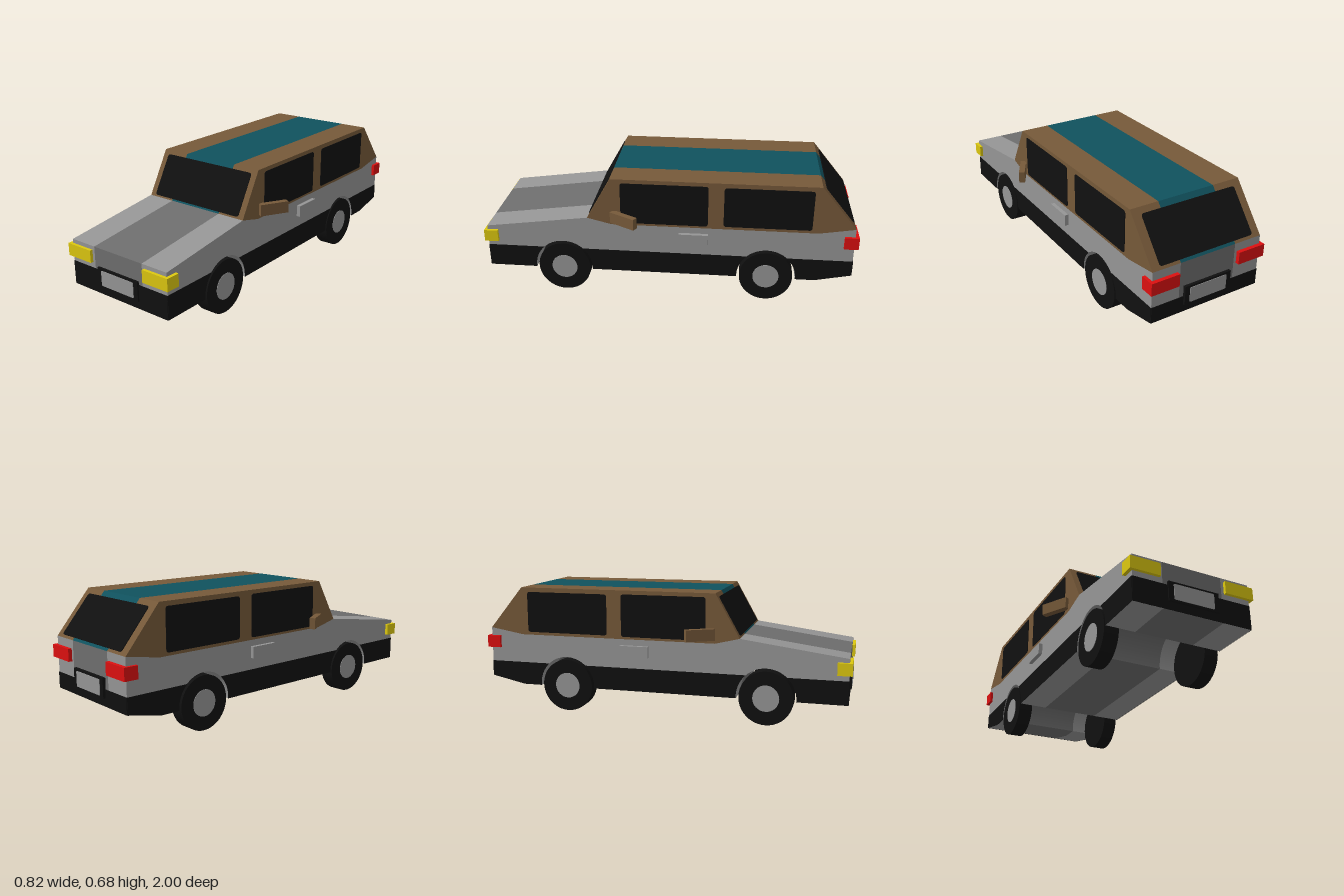
import * as THREE from 'three';

const mat = (name, color) => {
  const m = new THREE.MeshStandardMaterial({ color });
  m.name = name;
  return m;
};

export function createModel() {
  const silver = mat('silver paint', 0x959595);
  const grey = mat('grey stripe', 0x6e6e6e);
  const brown = mat('brown paint', 0x765939);
  const teal = mat('teal stripe', 0x10525e);
  const black = mat('black trim', 0x101010);
  const yellow = mat('yellow lamp', 0xdcc710);
  const red = mat('red lamp', 0xdc1010);

  const car = new THREE.Group();
  car.name = 'car';
  const add = (name, geometry, material, x = 0, y = 0, z = 0) => {
    const mesh = new THREE.Mesh(geometry, material);
    mesh.name = name;
    mesh.position.set(x, y, z);
    car.add(mesh);
    return mesh;
  };
  const box = (name, w, h, d, material, x, y, z) =>
    add(name, new THREE.BoxGeometry(w, h, d), material, x, y, z);

  // Side profile drawn as (z, y), extruded across x
  const slab = (name, shape, x0, x1, material) => {
    const g = new THREE.ExtrudeGeometry(shape, { depth: x1 - x0, bevelEnabled: false, curveSegments: 24 });
    g.rotateY(-Math.PI / 2).translate(x1, 0, 0);
    return add(name, g, material);
  };
  const polygon = (points) => new THREE.Shape(points.map(([z, y]) => new THREE.Vector2(z, y)));

  // Flat plate with rounded corners, facing a given direction
  const plate = (name, w, h, material, pos, normal, r = 0.014) => {
    const s = new THREE.Shape();
    const a = w / 2, b = h / 2;
    s.absarc(a - r, b - r, r, 0, Math.PI / 2);
    s.absarc(r - a, b - r, r, Math.PI / 2, Math.PI);
    s.absarc(r - a, r - b, r, Math.PI, Math.PI * 1.5);
    s.absarc(a - r, r - b, r, Math.PI * 1.5, Math.PI * 2);
    const g = new THREE.ExtrudeGeometry(s, { depth: 0.004, bevelEnabled: false, curveSegments: 4 });
    const mesh = add(name, g, material, ...pos);
    mesh.lookAt(mesh.position.clone().add(new THREE.Vector3(...normal)));
    return mesh;
  };

  const W = 0.316, S = 0.16, F = 0.984, B = -0.98;
  const axles = [0.57, -0.53], axleY = 0.145, archR = 0.157;
  const low = Math.asin(0.01 / archR), high = Math.asin((0.26 - axleY) / archR);

  // Lower body with wheel arches running right through
  const body = polygon([[F, 0.135], [F, 0.375], [0.43, 0.45], [0.3, 0.418],
    [-0.79, 0.418], [B, 0.45], [B, 0.175], [-0.79, 0.135]]);
  for (const z of [...axles].reverse()) {
    body.absarc(z, axleY, archR, Math.PI + low, -low, true);
  }
  // Cabin
  const cabin = polygon([[0.43, 0.45], [0.3, 0.68], [-0.79, 0.68], [B, 0.45], [-0.79, 0.418], [0.3, 0.418]]);
  // Outer thirds plain, middle third striped
  for (const [side, x0, x1] of [['right', -W, -S], ['middle', -S, S], ['left', S, W]]) {
    const mid = side === 'middle';
    slab(side + ' body', body, x0, x1, mid ? grey : silver);
    slab(side + ' cabin', cabin, x0, x1, mid ? teal : brown);
  }

  // Black sill sections, shaped around the arches
  const sillFront = new THREE.Shape();
  sillFront.moveTo(F, 0.135);
  sillFront.lineTo(F, 0.26);
  sillFront.absarc(axles[0], axleY, archR, high, -low, true);
  const sillMiddle = new THREE.Shape();
  sillMiddle.absarc(axles[0], axleY, archR, Math.PI - high, Math.PI + low, false);
  sillMiddle.absarc(axles[1], axleY, archR, -low, high, false);
  const sillRear = new THREE.Shape();
  sillRear.absarc(axles[1], axleY, archR, Math.PI - high, Math.PI + low, false);
  sillRear.lineTo(-0.79, 0.135);
  sillRear.lineTo(B, 0.175);
  sillRear.lineTo(B, 0.26);

  for (const s of [-1, 1]) {
    const side = s > 0 ? 'left ' : 'right ';
    const x0 = s > 0 ? W : -W - 0.002;
    for (const shape of [sillFront, sillMiddle, sillRear]) slab(side + 'sill', shape, x0, x0 + 0.002, black);

    // Side windows
    plate(side + 'front window', 0.462, 0.228, black, [s * (W - 0.001), 0.545, 0.018], [s, 0, 0]);
    plate(side + 'rear window', 0.46, 0.222, black, [s * (W - 0.001), 0.545, -0.525], [s, 0, 0]);

    // Lamps wrap the corners
    box(side + 'headlight', 0.158, 0.065, 0.075, yellow, s * 0.254, 0.322, 0.9625);
    box(side + 'tail light', 0.157, 0.066, 0.075, red, s * 0.2535, 0.373, -0.9625);

    // Door handle and wing mirror
    box(side + 'handle', 0.03, 0.062, 0.155, silver, s * 0.322, 0.354, -0.138);
    const mirror = box(side + 'mirror', 0.032, 0.061, 0.155, brown, s * 0.36, 0.4675, 0.228);
    mirror.rotation.y = -s * 0.52;

    // Wheels
    for (const z of axles) {
      const tyre = new THREE.CylinderGeometry(0.143, 0.143, 0.077, 40).rotateZ(Math.PI / 2);
      add(side + 'tyre', tyre, black, s * 0.2775, 0.143, z);
      const hub = new THREE.CylinderGeometry(0.07, 0.07, 0.006, 32).rotateZ(Math.PI / 2);
      add(side + 'hub', hub, silver, s * 0.315, 0.143, z);
    }
  }

  // Windscreen and rear window lie on the sloping ends of the cabin
  plate('windscreen', 0.565, 0.232, black, [0, 0.559, 0.368], [0, 0.13, 0.23]);
  plate('rear window', 0.54, 0.25, black, [0, 0.559, -0.892], [0, 0.19, -0.23]);

  // Bumper bands
  box('front bumper', W * 2, 0.125, 0.004, black, 0, 0.1975, F + 0.001);
  box('rear bumper', W * 2, 0.085, 0.004, black, 0, 0.2175, B - 0.001);

  // Plate holders and blank plates
  for (const [name, s, y] of [['front', 1, 0.227], ['rear', -1, 0.267]]) {
    box(name + ' plate holder', 0.27, 0.102, 0.02, black, 0, y, s * 0.985);
    plate(name + ' plate', 0.216, 0.08, silver, [0, y, s * 0.994], [0, 0, s], 0.006);
  }
  return car;
}
